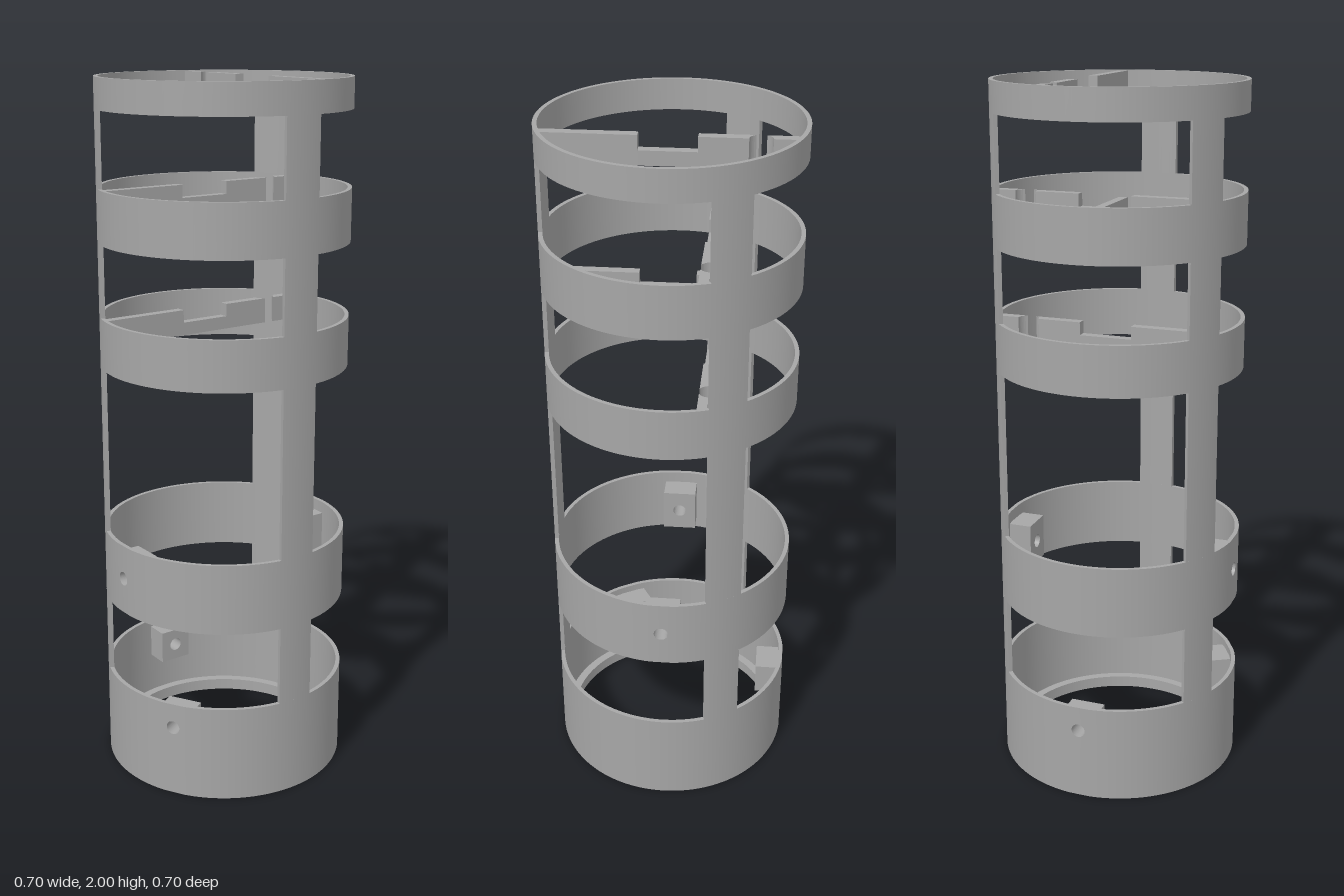
import * as THREE from 'three';

const R = 0.352, WALL = 0.34, HOLE = 0.02, DEG = Math.PI / 180;

// Wraps a flat piece around the y axis: x is arc length, z is radius.
function bend(geo) {
  const p = geo.attributes.position, n = geo.attributes.normal;
  for (let i = 0; i < p.count; i++) {
    const a = p.getX(i) / R, r = p.getZ(i), s = Math.sin(a), c = Math.cos(a);
    p.setXYZ(i, r * s, p.getY(i), r * c);
    const nx = n.getX(i), nz = n.getZ(i);
    n.setXYZ(i, nx * c + nz * s, n.getY(i), nz * c - nx * s);
  }
  return geo;
}

// Curved wall between two angles (degrees)
function arcWall(a0, a1, y0, y1, r0 = WALL, r1 = R) {
  const w = (a1 - a0) * DEG * R;
  const geo = new THREE.BoxGeometry(w, y1 - y0, r1 - r0, Math.max(4, Math.ceil((a1 - a0) / 3)));
  geo.translate((a0 + a1) / 2 * DEG * R, (y0 + y1) / 2, (r0 + r1) / 2);
  return bend(geo);
}

// Flat plate with a round hole
function drilledPlate(w, y0, y1, holeY, depth) {
  const s = new THREE.Shape([[-w / 2, y0], [w / 2, y0], [w / 2, y1], [-w / 2, y1]]
    .map(([x, y]) => new THREE.Vector2(x, y)));
  const h = new THREE.Path();
  h.absarc(0, holeY, HOLE, 0, Math.PI * 2, true);
  s.holes.push(h);
  return new THREE.ExtrudeGeometry(s, { depth, bevelEnabled: false, curveSegments: 24 });
}

export function createModel() {
  const group = new THREE.Group();
  const grey = new THREE.MeshStandardMaterial({ color: 0xa6a6a6 });
  grey.name = 'grey plastic';
  const add = (name, geo) => {
    const m = new THREE.Mesh(geo, grey);
    m.name = name;
    group.add(m);
    return m;
  };

  // Ring bands; drilled ones get a short holed panel at each hole angle
  const bands = [
    { name: 'baseBand', y0: 0, y1: 0.283, holes: [180, 300], holeY: 0.21, blockH: 0.1 },
    { name: 'lowerBand', y0: 0.515, y1: 0.72, holes: [90, 270], holeY: 0.62, blockH: 0.13 },
    { name: 'middleBand', y0: 1.207, y1: 1.35, holes: [] },
    { name: 'upperBand', y0: 1.557, y1: 1.705, holes: [] },
    { name: 'topBand', y0: 1.915, y1: 2, holes: [] },
  ];
  const half = 5;
  for (const b of bands) {
    if (!b.holes.length) add(b.name, arcWall(0, 360, b.y0, b.y1));
    b.holes.forEach((a, i) => {
      const next = i + 1 < b.holes.length ? b.holes[i + 1] : b.holes[0] + 360;
      add(b.name, arcWall(a + half, next - half, b.y0, b.y1));
      const panel = drilledPlate(2 * half * DEG * R, b.y0, b.y1, b.holeY, R - WALL);
      add(b.name + 'HolePanel', bend(panel.translate(0, 0, WALL))).rotation.y = a * DEG;
      // Screw block behind the hole
      const block = drilledPlate(0.1, b.holeY - b.blockH / 2, b.holeY + b.blockH / 2, b.holeY, 0.072);
      add('screwBlock', block.translate(0, 0, 0.269)).rotation.y = a * DEG;
    });
  }

  // Inner lip at the foot
  add('baseLip', arcWall(0, 360, 0, 0.035, 0.315, WALL));

  // Three posts filling the gaps between bands
  const postHalf = 0.055 / R / DEG;
  for (let i = 0; i + 1 < bands.length; i++)
    for (const a of [0, 120, 240])
      add('post', arcWall(a - postHalf, a + postHalf, bands[i].y1, bands[i + 1].y0));

  // Cross bars: notched in the middle, cut through by a round rod clearance
  const V0 = 0.093, V1 = 0.12, ROD = 0.23, ROD_R = 0.03, END = 0.327;
  const cut = (side) => Array.from({ length: 9 }, (_, i) => {
    const v = V0 + (V1 - V0) * i / 8;
    return [ROD + side * Math.sqrt(ROD_R ** 2 - (v - V1) ** 2), v];
  });
  const segments = [
    { pts: [[-END, V0], [-0.075, V0], [-0.075, V1], [-END, V1]], tall: 1 },
    { pts: [[-0.075, V0], [0.075, V0], [0.075, V1], [-0.075, V1]], tall: 0.5 },
    { pts: [[0.075, V0], ...cut(-1), [0.075, V1]], tall: 1 },
    { pts: [[END, V0], [END, V1], ...cut(1).reverse()], tall: 1 },
  ];
  function crossBar(name, alongX, y0, height) {
    for (const { pts, tall } of segments) {
      const shape = new THREE.Shape(pts.map(([u, v]) =>
        alongX ? new THREE.Vector2(u, v) : new THREE.Vector2(v, u)));
      const geo = new THREE.ExtrudeGeometry(shape, { depth: height * tall, bevelEnabled: false });
      add(name, geo.rotateX(-Math.PI / 2).translate(0, y0, 0));
    }
  }
  crossBar('topLengthBar', false, 1.92, 0.078);
  crossBar('upperLengthBar', false, 1.557, 0.073);
  crossBar('upperCrossBar', true, 1.63, 0.073);
  crossBar('middleCrossBar', true, 1.275, 0.073);

  return group;
}
